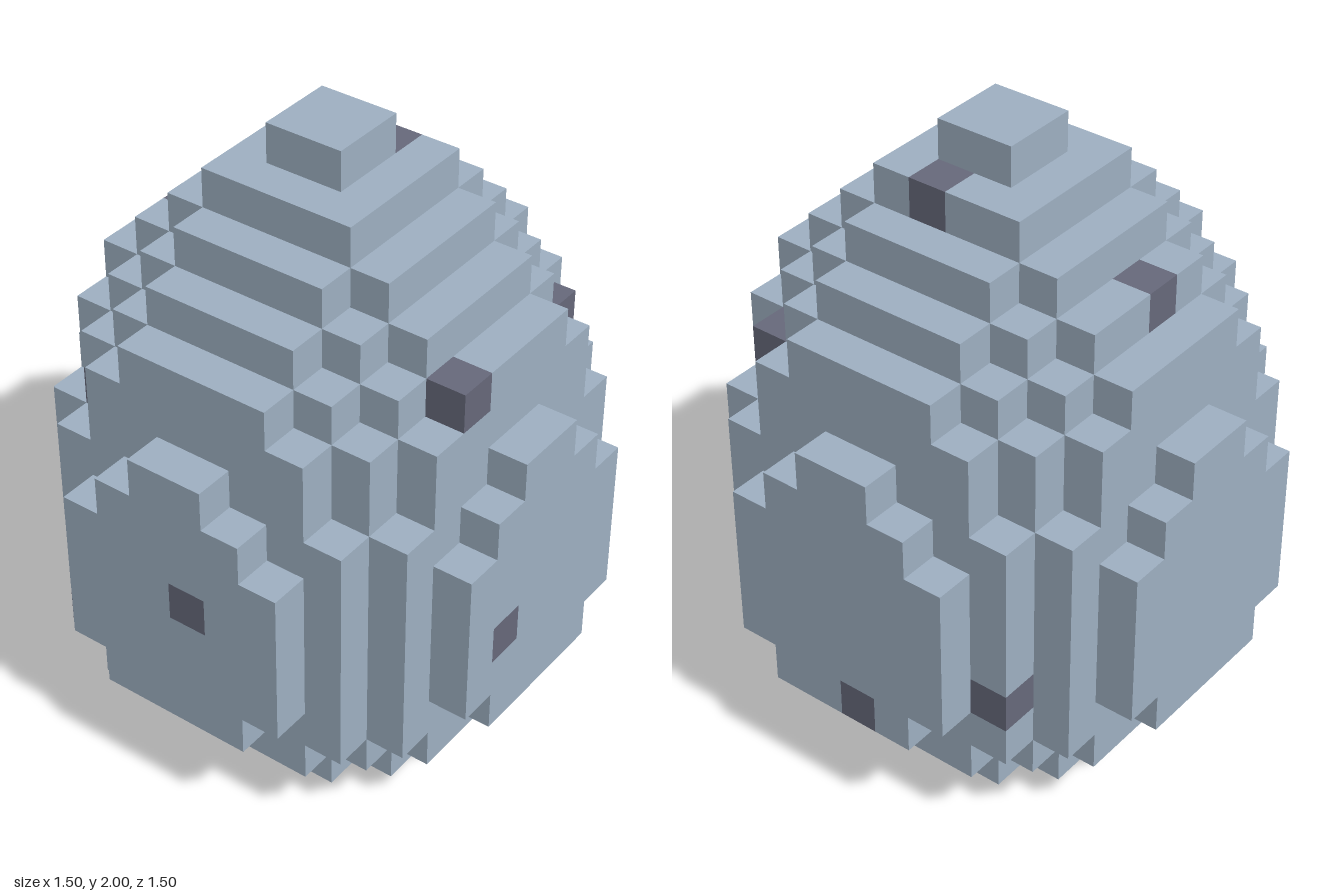
import * as THREE from 'three';
import { mergeGeometries } from 'three/addons/utils/BufferGeometryUtils.js';

// Cell size, and the radius (in cells) of each layer from bottom to top
const CELL = 0.125;
const RADII = [2.7, 4.4, 5.3, 5.9, 6.2, 6.2, 6.2, 6.2, 5.8, 5.6, 5.3, 4.85, 4.0, 3.2, 2.3, 1.0];

// Lower corner (x, layer, z) of each dark cell
const SPOTS = [
  [-2, 5, 5], [-2, 11, 4], [3, 10, 3], [1, 14, 0], [5, 3, -1], [4, 4, -4],
  [-1, 12, -4], [-4, 9, -4], [-5, 3, -4], [-1, 2, -5], [-6, 6, 0],
];

// Outward directions with the rotation that turns a +z square to face them
const SIDES = [
  { d: [0, 0, 1], rx: 0, ry: 0 },
  { d: [0, 0, -1], rx: 0, ry: Math.PI },
  { d: [1, 0, 0], rx: 0, ry: Math.PI / 2 },
  { d: [-1, 0, 0], rx: 0, ry: -Math.PI / 2 },
  { d: [0, 1, 0], rx: -Math.PI / 2, ry: 0 },
  { d: [0, -1, 0], rx: Math.PI / 2, ry: 0 },
];

// A cell is filled when its centre lies inside the round layer
const filled = (x, y, z) =>
  y >= 0 && y < RADII.length && Math.hypot(x + 0.5, z + 0.5) < RADII[y];

const isSpot = (x, y, z) => SPOTS.some((s) => s[0] === x && s[1] === y && s[2] === z);

// Square faces of one cell that are not covered by a neighbour
function exposedFaces(x, y, z) {
  return SIDES.filter(({ d }) => !filled(x + d[0], y + d[1], z + d[2])).map(({ rx, ry }) =>
    new THREE.PlaneGeometry(CELL, CELL)
      .translate(0, 0, CELL / 2)
      .rotateX(rx)
      .rotateY(ry)
      .translate((x + 0.5) * CELL, (y + 0.5) * CELL, (z + 0.5) * CELL));
}

export function createModel() {
  const shellMaterial = new THREE.MeshStandardMaterial({ color: 0xa0b2c4 });
  shellMaterial.name = 'paleBlueGrey';
  const spotMaterial = new THREE.MeshStandardMaterial({ color: 0x686a7c });
  spotMaterial.name = 'darkGrey';

  const egg = new THREE.Group();
  egg.name = 'blockEgg';

  const addMesh = (name, faces, material) => {
    if (!faces.length) return;
    const mesh = new THREE.Mesh(mergeGeometries(faces), material);
    mesh.name = name;
    egg.add(mesh);
  };

  // Stepped shell, one mesh per layer, with the dark cells left out
  const spotFaces = [];
  for (let y = 0; y < RADII.length; y++) {
    const shellFaces = [];
    for (let x = -6; x < 6; x++) {
      for (let z = -6; z < 6; z++) {
        if (!filled(x, y, z)) continue;
        (isSpot(x, y, z) ? spotFaces : shellFaces).push(...exposedFaces(x, y, z));
      }
    }
    addMesh(`shellLayer${y + 1}`, shellFaces, shellMaterial);
  }

  // Scattered dark cells
  addMesh('darkSpots', spotFaces, spotMaterial);
  return egg;
}
